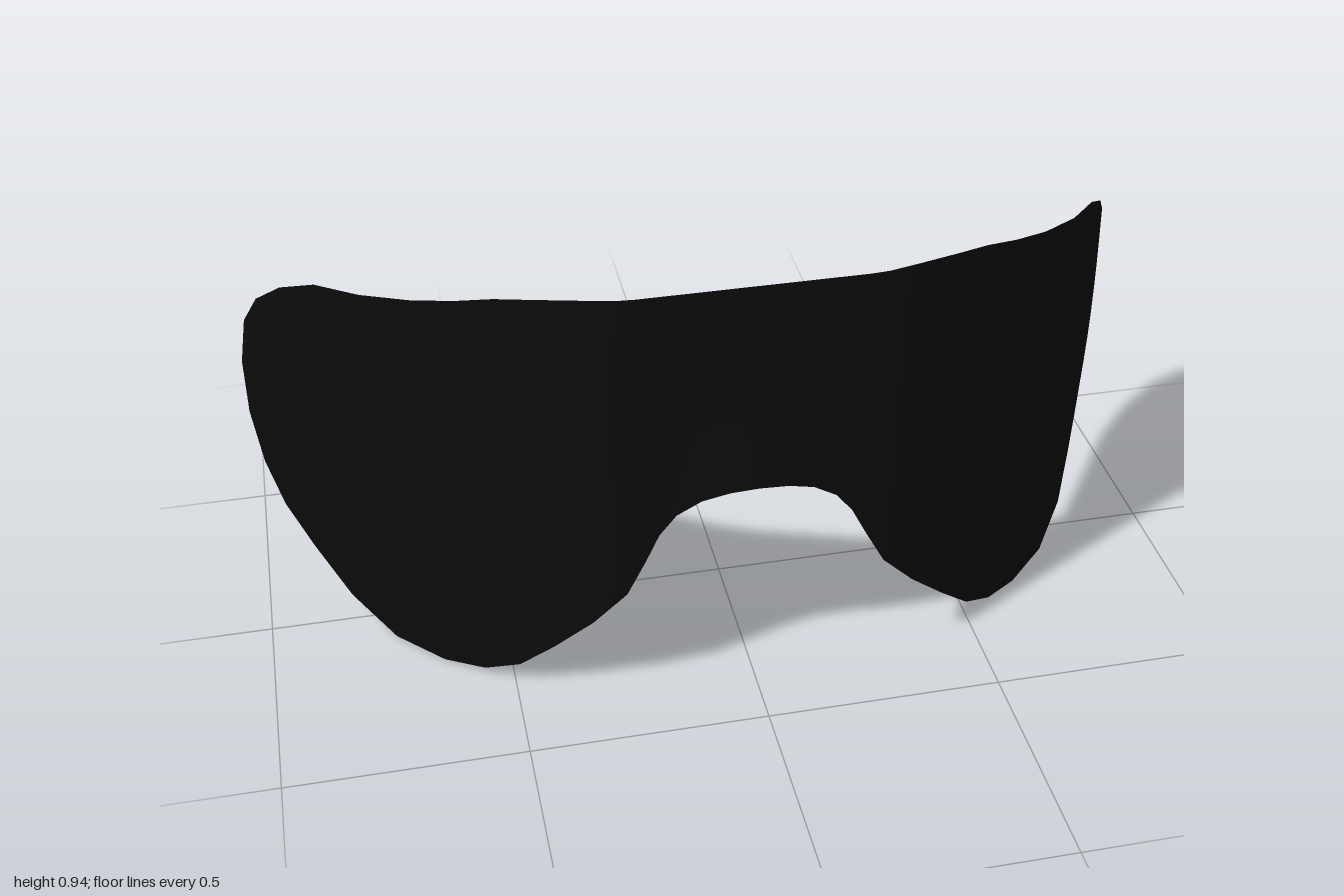
import * as THREE from 'three';

// Half outline from the nose to the temple: x, top y, bottom y, top z, bottom z, outward bulge
const STATIONS = [
  [0, 0.94, 0.515, 0.325, 0.395, -0.006],
  [0.06, 0.94, 0.51, 0.325, 0.392, -0.005],
  [0.115, 0.94, 0.49, 0.325, 0.38, 0],
  [0.165, 0.94, 0.455, 0.325, 0.37, 0],
  [0.2, 0.94, 0.41, 0.325, 0.368, 0],
  [0.23, 0.94, 0.35, 0.325, 0.372, 0],
  [0.27, 0.94, 0.275, 0.322, 0.375, 0],
  [0.34, 0.94, 0.2, 0.305, 0.36, 0],
  [0.42, 0.937, 0.125, 0.28, 0.33, 0],
  [0.49, 0.93, 0.06, 0.25, 0.295, 0],
  [0.56, 0.917, 0.02, 0.22, 0.245, 0],
  [0.64, 0.9, 0.003, 0.172, 0.18, 0],
  [0.735, 0.873, 0.01, 0.085, 0.09, 0.01],
  [0.82, 0.84, 0.045, -0.03, -0.03, 0.025],
  [0.89, 0.775, 0.09, -0.145, -0.165, 0.02],
  [0.945, 0.69, 0.135, -0.255, -0.275, 0.015],
  [0.98, 0.59, 0.21, -0.34, -0.345, 0.005],
  [1, 0.455, 0.32, -0.39, -0.39, 0],
];
const ROWS = 8;

// Curved sheet swept from temple to temple
function lensGeometry() {
  const mirrored = STATIONS.slice(1).reverse().map(([x, ...rest]) => [-x, ...rest]);
  const columns = [...mirrored, ...STATIONS];
  const positions = [];
  const indices = [];
  columns.forEach(([x, yTop, yBottom, zTop, zBottom, bulge], c) => {
    for (let r = 0; r <= ROWS; r++) {
      const t = r / ROWS;
      const z = THREE.MathUtils.lerp(zBottom, zTop, t) + bulge * Math.sin(Math.PI * t);
      positions.push(x, THREE.MathUtils.lerp(yBottom, yTop, t), z);
      if (c < columns.length - 1 && r < ROWS) {
        const a = c * (ROWS + 1) + r;
        const b = a + ROWS + 1;
        indices.push(a, b, b + 1, a, b + 1, a + 1);
      }
    }
  });
  const geometry = new THREE.BufferGeometry();
  geometry.setAttribute('position', new THREE.Float32BufferAttribute(positions, 3));
  geometry.setIndex(indices);
  geometry.computeVertexNormals();
  return geometry;
}

export function createModel() {
  const group = new THREE.Group();
  group.name = 'visor';
  const black = new THREE.MeshStandardMaterial({ color: 0x0b0b0b, side: THREE.DoubleSide });
  black.name = 'black lens';
  const lens = new THREE.Mesh(lensGeometry(), black);
  lens.name = 'shieldLens';
  group.add(lens);
  return group;
}
